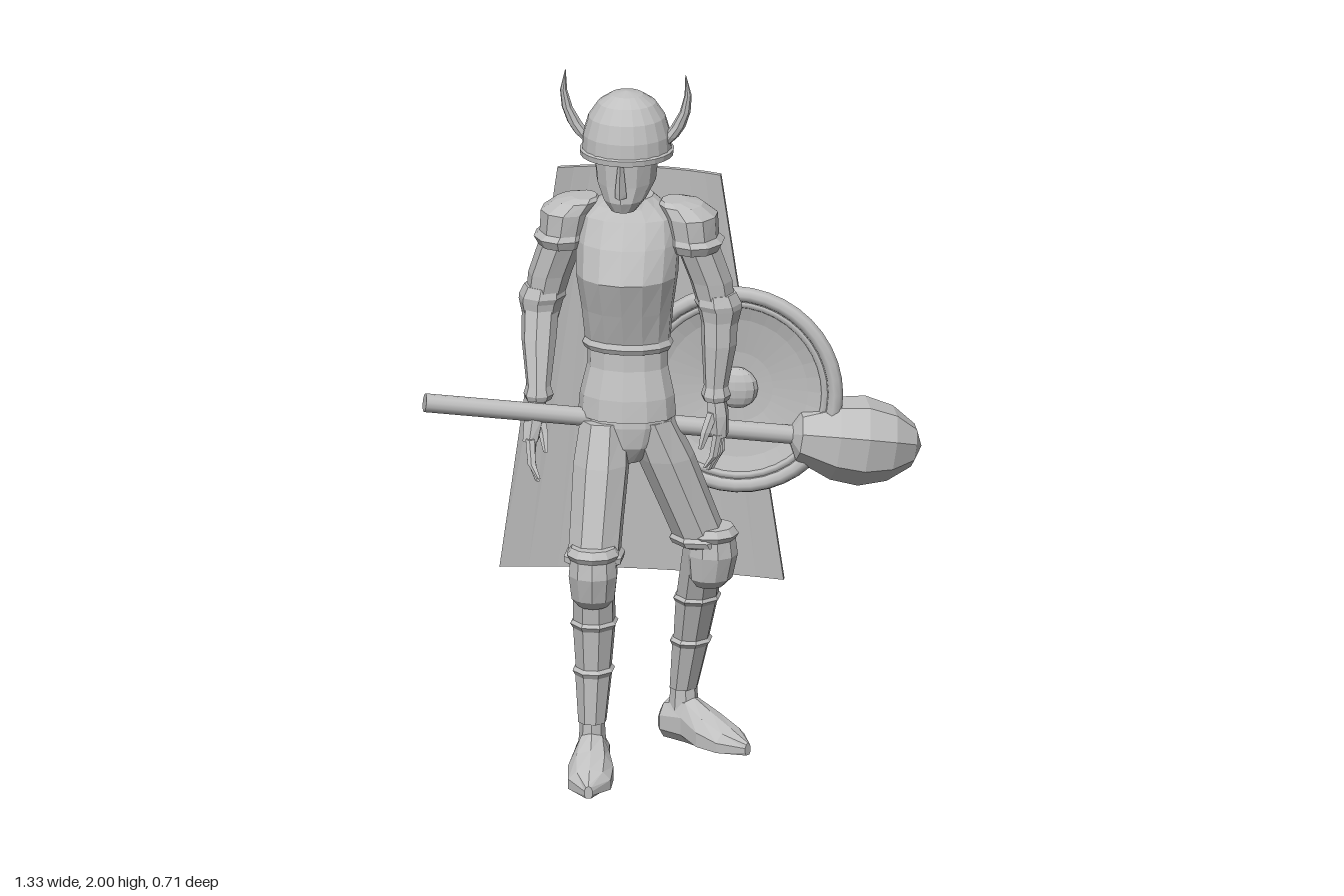
import * as THREE from 'three';

const steel = new THREE.MeshStandardMaterial({ color: 0xc0c0c0 });
steel.name = 'steelGrey';
const CX = -0.13; // body centre line

// Facet a geometry so that every polygon reads flat
function facet(g) {
  const f = g.index ? g.toNonIndexed() : g;
  f.computeVertexNormals();
  return f;
}

// Skin elliptical rings [x, y, z, rx, rz] stacked along y
function loft(rings, sides = 8, turn = 0) {
  const r = rings[0][1] > rings[rings.length - 1][1] ? [...rings].reverse() : rings;
  const pos = [], idx = [];
  for (const [x, y, z, rx, rz = rx] of r)
    for (let j = 0; j < sides; j++) {
      const a = ((j + turn) / sides) * Math.PI * 2;
      pos.push(x + rx * Math.sin(a), y, z + rz * Math.cos(a));
    }
  const n = r.length;
  for (let i = 0; i < n - 1; i++)
    for (let j = 0; j < sides; j++) {
      const a = i * sides + j, b = i * sides + ((j + 1) % sides);
      idx.push(a, b, b + sides, a, b + sides, a + sides);
    }
  for (const e of [0, n - 1]) {
    const c = pos.length / 3;
    pos.push(r[e][0], r[e][1], r[e][2]);
    for (let j = 0; j < sides; j++) {
      const a = e * sides + j, b = e * sides + ((j + 1) % sides);
      if (e) idx.push(a, b, c); else idx.push(b, a, c);
    }
  }
  const g = new THREE.BufferGeometry();
  g.setAttribute('position', new THREE.Float32BufferAttribute(pos, 3));
  g.setIndex(idx);
  return g;
}

function add(parent, name, geometry, flat = true) {
  const m = new THREE.Mesh(flat ? facet(geometry) : geometry, steel);
  m.name = name;
  parent.add(m);
  return m;
}

const lathe = (pts, seg) => new THREE.LatheGeometry(pts.map(p => new THREE.Vector2(...p)), seg);

function buildHead(root) {
  const g = new THREE.Group();
  g.name = 'head';
  root.add(g);
  add(g, 'neck', loft([[CX, 1.55, -0.075, 0.065], [CX, 1.62, -0.065, 0.052, 0.056], [CX, 1.72, -0.05, 0.055, 0.06]], 10));
  add(g, 'face', loft([[CX, 1.615, 0.045, 0.035, 0.04], [CX, 1.645, 0.025, 0.06, 0.075],
    [CX, 1.69, -0.008, 0.083, 0.106], [CX, 1.79, -0.015, 0.093, 0.114]], 12));
  add(g, 'nose', loft([[CX, 1.665, 0.1, 0.016, 0.024], [CX, 1.68, 0.1, 0.016, 0.022], [CX, 1.76, 0.1, 0.008, 0.012]], 4));
  add(g, 'helmet', lathe([[0, 0], [0.125, 0], [0.122, 0.05], [0.107, 0.1], [0.08, 0.14], [0.045, 0.163], [0, 0.172]], 20))
    .position.set(CX, 1.768, -0.018);
  add(g, 'helmetRim', lathe([[0.115, -0.012], [0.129, -0.01], [0.131, 0.006], [0.12, 0.012]], 24))
    .position.set(CX, 1.768, -0.018);
  for (const s of [-1, 1])
    add(g, 'horn', loft([[0.105, 1.795, -0.012, 0.02], [0.124, 1.815, -0.012, 0.022], [0.145, 1.845, -0.01, 0.02],
      [0.165, 1.89, -0.005, 0.015], [0.174, 1.94, 0, 0.01], [0.168, 2, 0.006, 0.001]]
      .map(([d, y, z, r]) => [CX + s * d, y, z, r]), 8));
}

function buildTorso(root) {
  const g = new THREE.Group();
  g.name = 'torso';
  root.add(g);
  add(g, 'pelvis', loft([[CX, 0.87, -0.02, 0.045, 0.05], [CX, 0.92, -0.025, 0.1, 0.085],
    [CX, 0.98, -0.025, 0.125, 0.09], [CX, 1.06, -0.03, 0.125, 0.085]], 12));
  add(g, 'waistSkirt', loft([[CX, 1.0, -0.025, 0.137, 0.1], [CX, 1.06, -0.025, 0.132, 0.092],
    [CX, 1.14, -0.035, 0.113, 0.08], [CX, 1.23, -0.04, 0.112, 0.078]], 12));
  add(g, 'breastplate', loft([[CX, 1.19, -0.035, 0.12, 0.084], [CX, 1.205, -0.035, 0.128, 0.092], [CX, 1.22, -0.035, 0.12, 0.085],
    [CX, 1.31, -0.03, 0.128, 0.11], [CX, 1.41, -0.025, 0.142, 0.14], [CX, 1.5, -0.045, 0.145, 0.12],
    [CX, 1.57, -0.06, 0.135, 0.092], [CX, 1.6, -0.065, 0.1, 0.078], [CX, 1.625, -0.065, 0.068, 0.068]], 14));
}

// s: -1 right, 1 left; f: how far the hand swings forward
function buildArm(root, s, f) {
  const g = new THREE.Group();
  g.name = s < 0 ? 'rightArm' : 'leftArm';
  root.add(g);
  const limb = (name, rings, sides = 8) =>
    add(g, name, loft(rings.map(([d, y, z, ...r]) => [CX + s * d, y, z, ...r]), sides));
  limb('shoulderPad', [[0.185, 1.475, -0.065, 0.068, 0.085], [0.187, 1.5, -0.065, 0.08, 0.098], [0.18, 1.515, -0.065, 0.07, 0.088],
    [0.172, 1.575, -0.065, 0.075, 0.09], [0.145, 1.605, -0.065, 0.062, 0.07], [0.125, 1.615, -0.065, 0.035, 0.045]], 10);
  limb('upperArm', [[0.15, 1.56, -0.065, 0.055, 0.065], [0.19, 1.48, -0.075, 0.062, 0.07],
    [0.225, 1.38, -0.085, 0.06, 0.066], [0.245, 1.28, -0.085, 0.05, 0.055]]);
  limb('elbowCuff', [[0.25, 1.25, -0.08, 0.05, 0.054], [0.25, 1.3, -0.085, 0.062, 0.066],
    [0.245, 1.315, -0.085, 0.066, 0.07], [0.24, 1.345, -0.085, 0.056, 0.06]]);
  const wz = -0.07 + f * 0.55;
  limb('forearm', [[0.25, 1.29, -0.08, 0.052, 0.055], [0.25, 1.2, -0.075 + f * 0.2, 0.049, 0.052],
    [0.243, 1.08, wz, 0.034, 0.037], [0.243, 1.055, wz, 0.042, 0.045], [0.243, 1.04, wz, 0.036, 0.04]]);
  limb('palm', [[0.243, 1.06, wz, 0.026, 0.03], [0.25, 1.0, wz + f * 0.2, 0.03, 0.042], [0.255, 0.94, wz + f * 0.4, 0.024, 0.044]], 6);
  for (let i = 0; i < 4; i++) {
    const z = wz + f * 0.4 + (i - 1.5) * 0.022, tip = 0.835 + Math.abs(i - 1.4) * 0.014;
    limb('finger', [[0.253, 0.95, z, 0.013], [0.255 - i * 0.004, 0.89, z + f * 0.25, 0.012],
      [0.238 - i * 0.006, tip, z + f * 0.45, 0.006]], 5);
  }
  limb('thumb', [[0.238, 1.01, wz + 0.025, 0.016], [0.222, 0.96, wz + 0.05, 0.014], [0.21, 0.915, wz + 0.06 + f * 0.2, 0.007]], 5);
}

// hip, knee and ankle are [x, y, z]; yaw turns the knee guard and foot
function buildLeg(root, name, hip, knee, ankle, yaw) {
  const g = new THREE.Group();
  g.name = name;
  root.add(g);
  const between = (a, b, t, rx, rz, dz = 0) =>
    [a[0] + (b[0] - a[0]) * t, a[1] + (b[1] - a[1]) * t, a[2] + (b[2] - a[2]) * t + dz, rx, rz];
  add(g, 'thigh', loft([between(hip, knee, 0, 0.07, 0.085), between(hip, knee, 0.3, 0.08, 0.092),
    between(hip, knee, 0.7, 0.076, 0.086), between(hip, knee, 0.93, 0.075, 0.082), between(hip, knee, 1, 0.05, 0.055)], 8, 0.5));
  add(g, 'thighHem', loft([between(hip, knee, 0.9, 0.075, 0.082), between(hip, knee, 0.93, 0.087, 0.094),
    between(hip, knee, 0.97, 0.085, 0.09), between(hip, knee, 0.99, 0.07, 0.075)], 8, 0.5));
  // Three overlapping greave plates, each with a lip
  const shin = [];
  for (const [t, r] of [[0, 0.058], [0.36, 0.06], [0.38, 0.068], [0.41, 0.06], [0.66, 0.051], [0.68, 0.06], [0.71, 0.052], [1, 0.04]])
    shin.push(between(knee, ankle, t, r, r * 1.15, -0.022 * Math.sin(t * Math.PI)));
  add(g, 'shin', loft(shin, 8, 0.5));
  // Knee guard
  const pad = add(g, 'kneeGuard', loft([[0, -0.115, 0.02, 0.04, 0.04], [0, -0.09, 0.025, 0.062, 0.06], [0, -0.02, 0.03, 0.07, 0.073],
    [0, 0.025, 0.03, 0.066, 0.066], [0, 0.04, 0.03, 0.075, 0.075], [0, 0.06, 0.03, 0.062, 0.06]], 10));
  pad.position.set(...knee);
  pad.rotation.y = yaw;
  // Foot: rings run heel to toe, flattened onto the sole
  const shoe = loft([[0, -0.07, -0.04, 0.03, 0.04], [0, -0.05, -0.045, 0.048, 0.065], [0, 0.03, -0.05, 0.05, 0.08],
    [0, 0.1, -0.03, 0.066, 0.066], [0, 0.17, -0.02, 0.062, 0.045], [0, 0.235, -0.015, 0.012, 0.02]], 10);
  shoe.rotateX(Math.PI / 2);
  const p = shoe.attributes.position;
  for (let i = 0; i < p.count; i++) p.setY(i, Math.max(0, p.getY(i)));
  const foot = new THREE.Group();
  foot.name = 'foot';
  foot.position.set(ankle[0], 0, ankle[2]);
  foot.rotation.y = yaw;
  g.add(foot);
  add(foot, 'shoe', shoe);
  add(foot, 'ankle', loft([[0, 0.05, 0, 0.042, 0.05], [0, 0.12, 0, 0.036, 0.042], [0, 0.17, 0, 0.034, 0.038]], 8));
}

function buildGear(root) {
  // Curved plate on the back, wider at the bottom
  const plate = new THREE.BoxGeometry(1, 1, 1, 10, 1, 1), p = plate.attributes.position;
  for (let i = 0; i < p.count; i++) {
    const u = p.getX(i) * 2, t = 0.5 - p.getY(i), d = p.getZ(i);
    p.setXYZ(i, CX + u * (0.228 + 0.169 * t), 1.63 - 1.185 * t, -0.297 - 0.05 * t + 0.043 * u * u + d * 0.016);
  }
  add(root, 'backPlate', plate);

  // Round shield, domed towards the back
  const shield = new THREE.Group();
  shield.name = 'roundShield';
  shield.position.set(0.152, 1.035, -0.17);
  root.add(shield);
  const dome = lathe([[0, -0.045], [0.1, -0.039], [0.2, -0.022], [0.27, 0], [0.27, 0.012], [0.2, -0.01], [0.1, -0.026], [0, -0.032]], 32);
  add(shield, 'shieldDisc', dome.rotateX(Math.PI / 2));
  add(shield, 'shieldRim', new THREE.TorusGeometry(0.278, 0.022, 8, 40), false);
  add(shield, 'innerRim', new THREE.TorusGeometry(0.25, 0.012, 6, 40), false);
  const boss = add(shield, 'shieldGrip', new THREE.SphereGeometry(0.06, 12, 8));
  boss.scale.z = 0.5;
  boss.position.z = -0.015;

  // Mace slung across the waist
  const a = new THREE.Vector3(-0.67, 1.06, 0.15), b = new THREE.Vector3(0.475, 0.885, -0.225);
  const mace = new THREE.Group();
  mace.name = 'mace';
  mace.position.copy(b);
  mace.quaternion.setFromUnitVectors(new THREE.Vector3(0, 1, 0), b.clone().sub(a).normalize());
  root.add(mace);
  const len = a.distanceTo(b);
  add(mace, 'maceShaft', new THREE.CylinderGeometry(0.026, 0.026, len, 12).translate(0, -len / 2, 0), false);
  add(mace, 'maceHead', lathe([[0, -0.19], [0.07, -0.16], [0.115, -0.06], [0.125, 0.02], [0.105, 0.1], [0.06, 0.165], [0, 0.19]], 8));
}

export function createModel() {
  const root = new THREE.Group();
  root.name = 'armouredWarrior';
  buildHead(root);
  buildTorso(root);
  buildArm(root, -1, 0.14);
  buildArm(root, 1, 0.02);
  buildLeg(root, 'rightLeg', [-0.19, 0.99, -0.01], [-0.2, 0.61, 0.135], [-0.205, 0.15, 0.125], 0.1);
  buildLeg(root, 'leftLeg', [-0.07, 0.99, -0.035], [0.075, 0.61, -0.085], [0, 0.15, -0.215], 1.0);
  buildGear(root);
  return root;
}
